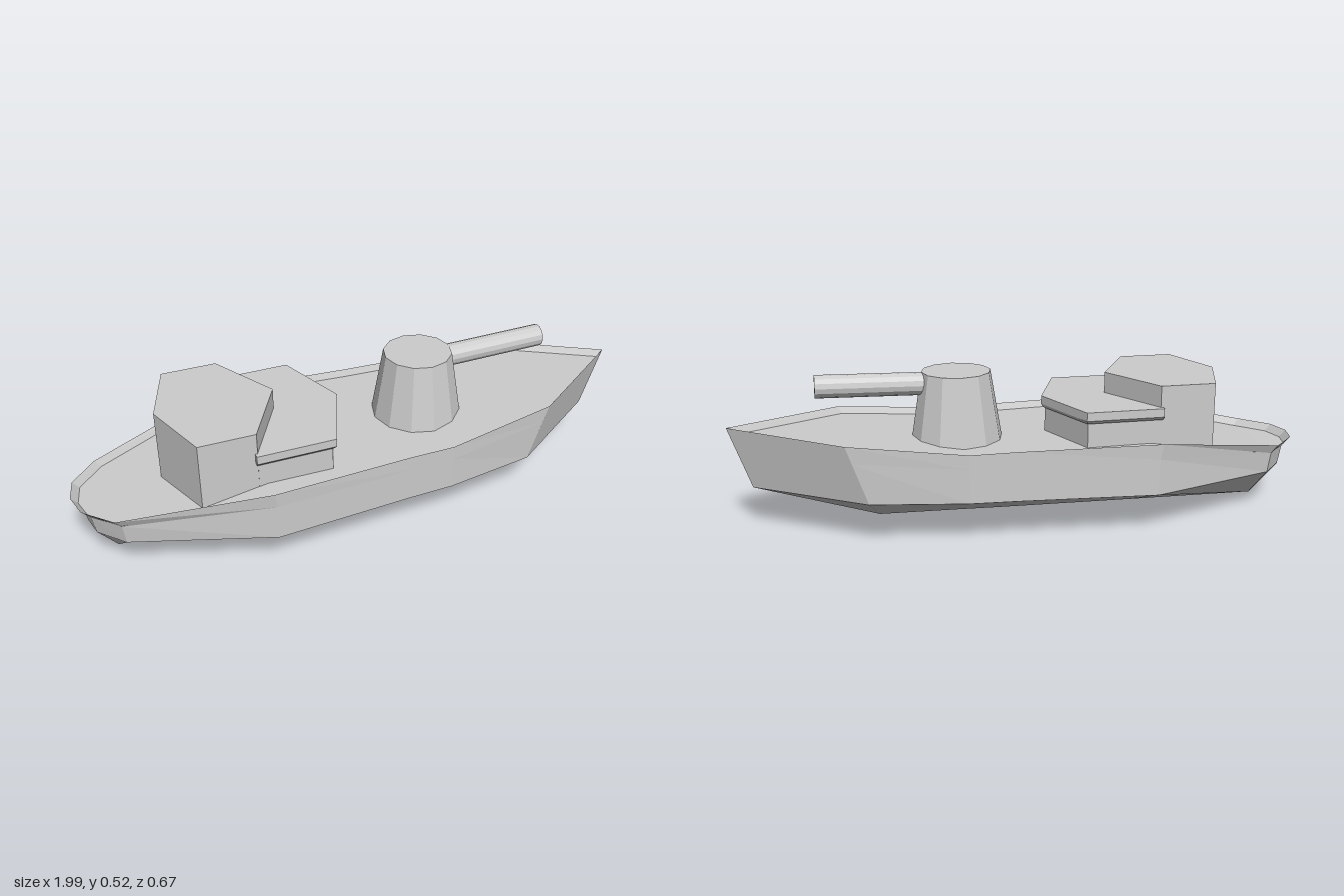
import * as THREE from 'three';

const material = new THREE.MeshStandardMaterial({ color: 0xcccccc, flatShading: true });

function addMesh(group, name, geometry) {
  const mesh = new THREE.Mesh(geometry, material);
  mesh.name = name;
  group.add(mesh);
  return mesh;
}

// Faceted skin through closed rings of equal length; collapsed triangles are dropped
function loft(rings) {
  const positions = [];
  const tri = new THREE.Triangle();
  const push = (a, b, c) => {
    tri.set(a, b, c);
    if (tri.getArea() > 1e-7) for (const p of [a, b, c]) positions.push(p.x, p.y, p.z);
  };
  for (let i = 0; i < rings.length - 1; i++) {
    const n = rings[i].length;
    for (let j = 0; j < n; j++) {
      const k = (j + 1) % n;
      push(rings[i][j], rings[i][k], rings[i + 1][k]);
      push(rings[i][j], rings[i + 1][k], rings[i + 1][j]);
    }
  }
  const geometry = new THREE.BufferGeometry();
  geometry.setAttribute('position', new THREE.Float32BufferAttribute(positions, 3));
  geometry.computeVertexNormals();
  return geometry;
}

// Upright block: levels are [height, outline of x,z pairs], closed top and bottom
function block(levels) {
  const rings = levels.map(([y, outline]) => outline.map(([x, z]) => new THREE.Vector3(x, y, z)));
  const cap = (ring) => {
    const centre = new THREE.Vector3();
    ring.forEach((p) => centre.addScaledVector(p, 1 / ring.length));
    return ring.map(() => centre);
  };
  return loft([cap(rings[0]), ...rings, cap(rings[rings.length - 1])]);
}

// Hull stations from stern to bow: rim, chine, keel and how far the rim flares
function hullGeometry() {
  const stations = [
    // rim x, y, z           chine x, y, z          keel x, y       flare
    [[-1.0, 0.235, 0], [-0.955, 0.135, 0], [-0.87, 0.003], 0.7],
    [[-0.98, 0.235, 0.085], [-0.94, 0.135, 0.075], [-0.87, 0.003], 0.7],
    [[-0.89, 0.236, 0.178], [-0.86, 0.136, 0.165], [-0.87, 0.003], 0.7],
    [[-0.41, 0.317, 0.333], [-0.4, 0.14, 0.329], [-0.4, 0.008], 0.8],
    [[0.07, 0.313, 0.304], [0.07, 0.144, 0.302], [0.07, 0.014], 0.3],
    [[0.23, 0.311, 0.3], [0.23, 0.146, 0.298], [0.23, 0.017], 0.3],
    [[0.62, 0.349, 0.25], [0.55, 0.149, 0.25], [0.5, 0.021], 0.3],
    [[0.993, 0.362, 0], [0.92, 0.15, 0], [0.92, 0.15], 0.3],
  ];
  return loft(stations.map(([r, c, k, flare]) => {
    const rim = new THREE.Vector3(...r);
    const chine = new THREE.Vector3(...c);
    const strake = rim.clone().lerp(chine, flare).setY(rim.y + (chine.y - rim.y) * 0.3);
    // Deck sits a little below and inside the rim
    const deck = new THREE.Vector3(rim.x * 0.977, rim.y - 0.025, rim.z * 0.97);
    const half = [deck, rim, strake, chine];
    const mirrored = half.map((p) => new THREE.Vector3(p.x, p.y, -p.z)).reverse();
    return [...half, new THREE.Vector3(k[0], k[1], 0), ...mirrored];
  }));
}

export function createModel() {
  const ship = new THREE.Group();
  ship.name = 'gunboat';

  addMesh(ship, 'hull', hullGeometry());

  // Six-sided deckhouse
  const house = [[-0.7, 0], [-0.62, 0.234], [-0.43, 0.234], [-0.3, 0], [-0.43, -0.234], [-0.62, -0.234]];
  addMesh(ship, 'deckhouse', block([[0.2, house], [0.488, house]]));

  // Pointed bridge in front of it, with an overhanging roof
  const arrow = (back, shoulder, tip, z) => [[back, z], [shoulder, z], [tip, 0], [shoulder, -z], [back, -z]];
  const wall = arrow(-0.43, -0.178, -0.086, 0.235);
  addMesh(ship, 'bridge', block([[0.26, wall], [0.39, wall]]));
  const roof = arrow(-0.438, -0.17, -0.073, 0.252);
  addMesh(ship, 'bridgeRoof', block([
    [0.374, arrow(-0.436, -0.175, -0.08, 0.241)],
    [0.386, roof],
    [0.415, roof],
  ]));

  // Tapered gun turret
  const turret = new THREE.Group();
  turret.name = 'turret';
  turret.position.set(0.225, 0, 0);
  ship.add(turret);
  const base = addMesh(turret, 'turretBody', new THREE.CylinderGeometry(0.119, 0.158, 0.24, 12));
  base.position.y = 0.4;

  // Barrel, raised slightly towards the muzzle
  const from = new THREE.Vector3(0.05, 0.479, 0);
  const to = new THREE.Vector3(0.475, 0.487, 0);
  const barrel = addMesh(turret, 'gunBarrel', new THREE.CylinderGeometry(0.039, 0.039, from.distanceTo(to), 14));
  barrel.position.copy(from).lerp(to, 0.5);
  barrel.quaternion.setFromUnitVectors(new THREE.Vector3(0, 1, 0), to.clone().sub(from).normalize());

  return ship;
}
